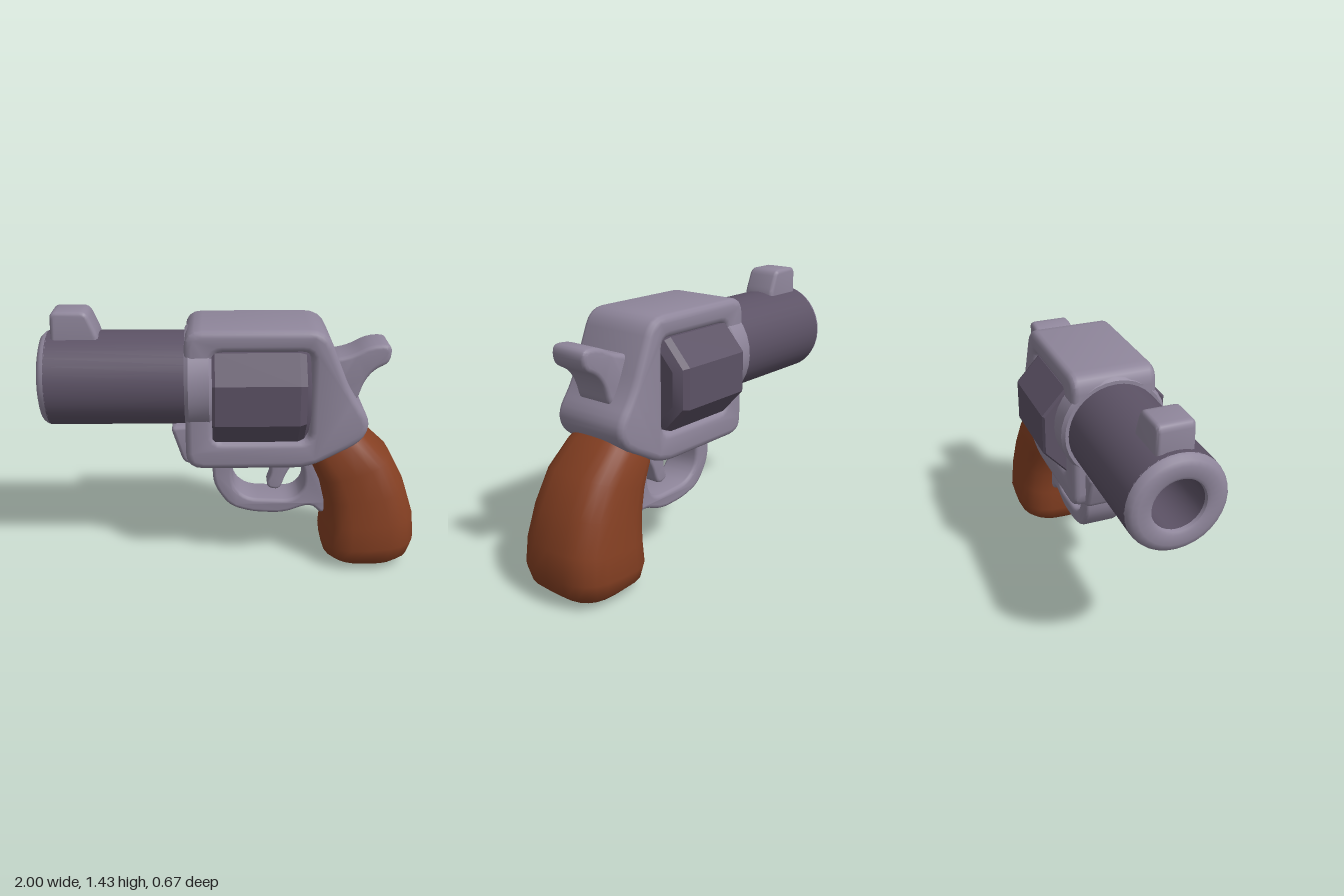
import * as THREE from 'three';
import { toCreasedNormals } from 'three/addons/utils/BufferGeometryUtils.js';

const material = (name, color) => {
  const m = new THREE.MeshStandardMaterial({ color });
  m.name = name;
  return m;
};

// Closed outline through points, each corner rounded by up to r
function rounded(path, pts, r) {
  const v = pts.map(([x, y]) => new THREE.Vector2(x, y));
  v.forEach((p, i) => {
    const toward = (q) => {
      const d = q.clone().sub(p);
      return d.setLength(Math.min(r, d.length() * 0.45)).add(p);
    };
    const a = toward(v[(i + v.length - 1) % v.length]);
    const b = toward(v[(i + 1) % v.length]);
    if (i === 0) path.moveTo(a.x, a.y);
    else path.lineTo(a.x, a.y);
    path.quadraticCurveTo(p.x, p.y, b.x, b.y);
  });
  path.closePath();
  return path;
}

// Side profile extruded to z = -half..half with a bevel kept inside the outline
function slab(pts, half, bevel, r, hole, holeR) {
  const shape = rounded(new THREE.Shape(), pts, r);
  if (hole) shape.holes.push(rounded(new THREE.Path(), hole, holeR));
  const g = new THREE.ExtrudeGeometry(shape, {
    depth: 2 * (half - bevel), curveSegments: 4, bevelSegments: 3,
    bevelSize: bevel, bevelThickness: bevel, bevelOffset: -bevel,
  });
  g.translate(0, 0, -half + bevel);
  return toCreasedNormals(g, 0.6);
}

// Skin over rings of equal point count, capped at both ends
function loft(rings, crease) {
  const n = rings[0].length;
  const last = (rings.length - 1) * n;
  const pos = rings.flat();
  const centre = (ring) => ring.reduce((s, p) => s.add(p), new THREE.Vector3()).divideScalar(n);
  const c0 = pos.length;
  pos.push(centre(rings[0]), centre(rings[rings.length - 1]));
  const index = [];
  for (let i = 0; i < n; i++) {
    const j = (i + 1) % n;
    for (let k = 0; k < last; k += n) {
      index.push(k + i, k + j, k + n + j, k + i, k + n + j, k + n + i);
    }
    index.push(c0, j, i, c0 + 1, last + i, last + j);
  }
  const g = new THREE.BufferGeometry().setFromPoints(pos);
  g.setIndex(index);
  return toCreasedNormals(g, crease);
}

// Lathe profile [radius, distance forward along the barrel]
const barrelY = 1.058;
function barrelLathe(profile) {
  const g = new THREE.LatheGeometry(profile.map(([r, h]) => new THREE.Vector2(r, h)), 32);
  g.rotateZ(Math.PI / 2).translate(0, barrelY, 0);
  return toCreasedNormals(g, 0.6);
}

export function createModel() {
  const model = new THREE.Group();
  const steel = material('light steel', 0x8f869b);
  const dark = material('dark steel', 0x5c5265);
  const wood = material('brown wood', 0x843f22);
  const add = (name, geometry, mat) => {
    const mesh = new THREE.Mesh(geometry, mat);
    mesh.name = name;
    model.add(mesh);
  };

  // Barrel: dark tube with a brown strip underneath
  const strip = 0.4;
  const tube = (start, length, segments) =>
    new THREE.CylinderGeometry(0.247, 0.247, 0.8, segments, 1, true, start, length)
      .rotateZ(Math.PI / 2).translate(-0.56, barrelY, 0);
  add('barrel', tube(1.5 * Math.PI + strip, 2 * (Math.PI - strip), 32), dark);
  add('barrelUnderside', tube(1.5 * Math.PI - strip, 2 * strip, 6), wood);
  add('muzzleRing', barrelLathe([
    [0.247, 0.955], [0.242, 0.975], [0.225, 0.993], [0.2, 1], [0.15, 1], [0.135, 0.992], [0.13, 0.975],
  ]), steel);
  add('bore', barrelLathe([[0.13, 0.975], [0.13, 0.55], [0.001, 0.55]]), dark);

  // Front sight
  add('frontSight', slab([[-0.935, 1.24], [-0.69, 1.24], [-0.69, 1.3], [-0.745, 1.43], [-0.93, 1.43]],
    0.092, 0.02, 0.035), steel);

  // Frame with its window, and the bulge that holds the barrel
  add('frame', slab([
    [-0.255, 0.615], [0.39, 0.615], [0.67, 0.765], [0.705, 0.88], [0.6, 1.02], [0.46, 1.365], [-0.255, 1.365],
  ], 0.222, 0.035, 0.09, [[-0.11, 0.77], [0.39, 0.77], [0.39, 1.25], [-0.11, 1.25]], 0.05), steel);
  const collar = barrelLathe([
    [0.2, 0.115], [0.265, 0.115], [0.28, 0.13], [0.28, 0.235], [0.265, 0.255], [0.2, 0.255],
  ]);
  add('barrelCollar', collar, steel);
  add('barrelLug', slab([[-0.335, 0.83], [-0.27, 0.63], [-0.2, 0.615], [-0.12, 0.64], [-0.12, 0.85]],
    0.16, 0.02, 0.03), steel);

  // Faceted drum
  const octagon = [[0.24, -0.21], [0.24, 0.21], [0.105, 0.333], [-0.105, 0.333],
    [-0.24, 0.21], [-0.24, -0.21], [-0.105, -0.333], [0.105, -0.333]];
  add('drum', loft([[-0.115, 0.97], [-0.1, 1], [0.325, 1], [0.36, 0.95], [0.385, 0.82]].map(([x, s]) =>
    octagon.map(([y, z]) => new THREE.Vector3(x, 1.01 + y * s, z * s))), 0.4), dark);

  // Hammer
  add('hammer', slab([
    [0.48, 0.95], [0.64, 0.94], [0.67, 1.05], [0.72, 1.12], [0.805, 1.16],
    [0.81, 1.26], [0.7, 1.255], [0.6, 1.2], [0.48, 1.18],
  ], 0.11, 0.022, 0.05), steel);

  // Trigger guard and trigger
  add('triggerGuard', slab([
    [-0.12, 0.65], [-0.115, 0.47], [-0.03, 0.34], [0.1, 0.3], [0.27, 0.293], [0.42, 0.35],
    [0.48, 0.28], [0.53, 0.35], [0.47, 0.65],
  ], 0.105, 0.02, 0.06, [
    [-0.01, 0.615], [-0.01, 0.46], [0.07, 0.385], [0.32, 0.375], [0.38, 0.44], [0.38, 0.54], [0.35, 0.615],
  ], 0.06), steel);
  add('trigger', slab([
    [0.18, 0.64], [0.205, 0.52], [0.17, 0.43], [0.25, 0.41], [0.28, 0.5], [0.32, 0.57], [0.32, 0.64],
  ], 0.055, 0.015, 0.04), steel);

  // Grip: slanted rounded sections [front x, front y, rear x, rear y, half depth]
  const soft = (t) => Math.sign(t) * Math.abs(t) ** 0.68;
  const sections = [
    [0.37, 0.67, 0.64, 0.82, 0.17], [0.4, 0.61, 0.7, 0.77, 0.205], [0.45, 0.5, 0.84, 0.64, 0.225],
    [0.48, 0.38, 0.93, 0.47, 0.242], [0.488, 0.25, 0.985, 0.3, 0.258], [0.48, 0.13, 1, 0.16, 0.268],
    [0.495, 0.065, 0.975, 0.075, 0.25], [0.54, 0.025, 0.92, 0.025, 0.2], [0.62, 0.003, 0.85, 0.003, 0.13],
  ];
  add('grip', loft(sections.map(([fx, fy, rx, ry, d]) => Array.from({ length: 24 }, (_, i) => {
    const a = (i / 24) * 2 * Math.PI;
    const t = 0.5 + 0.5 * soft(Math.cos(a));
    return new THREE.Vector3(fx + (rx - fx) * t, fy + (ry - fy) * t, d * soft(Math.sin(a)));
  })), 0.9), wood);

  return model;
}
